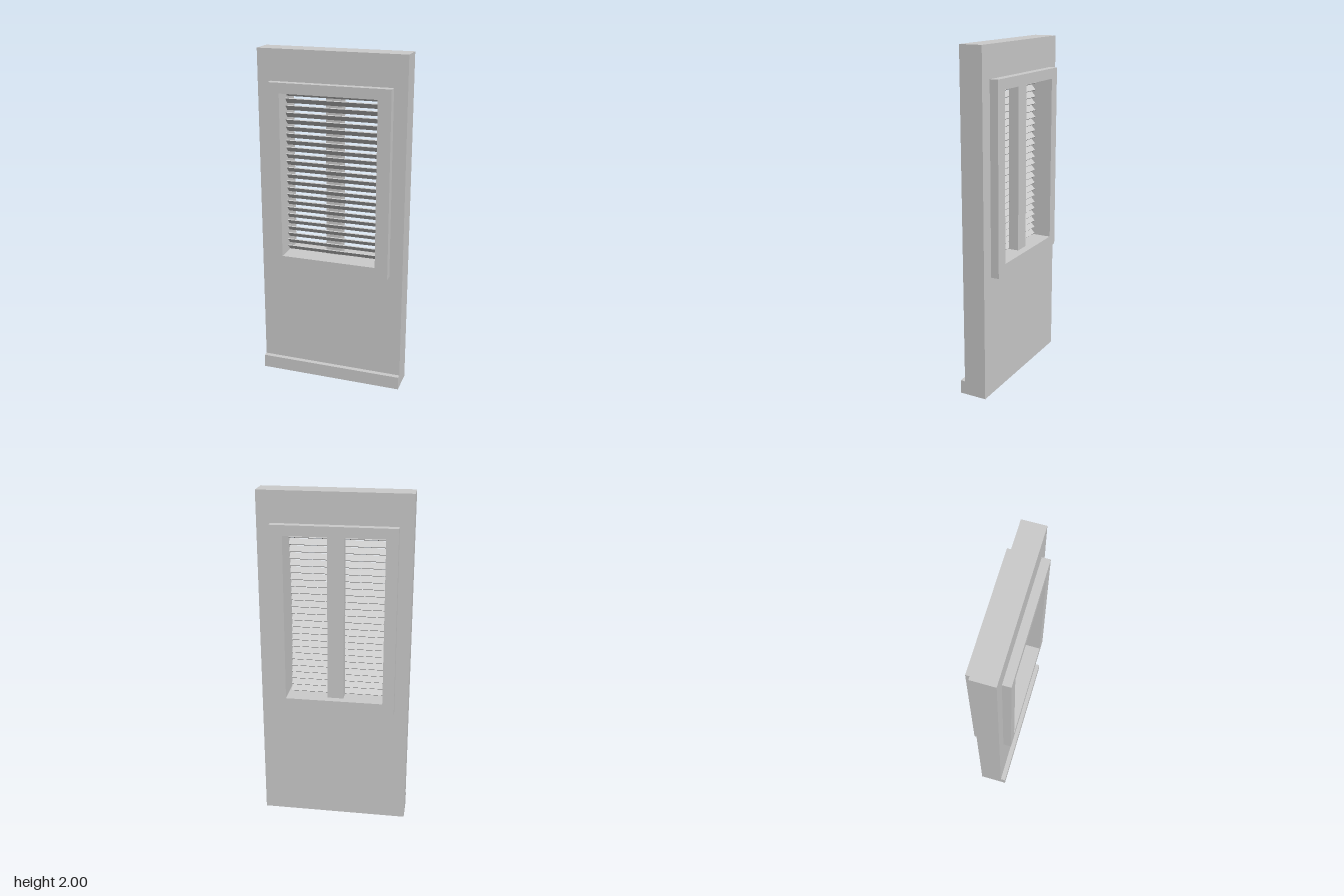
import * as THREE from 'three';

const material = new THREE.MeshStandardMaterial({ color: 0xcccccc, flatShading: true });

// Window opening shared by the panel and the frame
const OPEN = { x0: -0.29, x1: 0.282, y0: 0.785, y1: 1.76 };

function rectPoints(x0, x1, y0, y1) {
  return [[x0, y0], [x1, y0], [x1, y1], [x0, y1]].map(([x, y]) => new THREE.Vector2(x, y));
}

// Rectangular slab with the window cut through it, spanning z0..z1
function slabWithOpening(name, x0, x1, y0, y1, z0, z1) {
  const shape = new THREE.Shape(rectPoints(x0, x1, y0, y1));
  shape.holes.push(new THREE.Path(rectPoints(OPEN.x0, OPEN.x1, OPEN.y0, OPEN.y1)));
  const geometry = new THREE.ExtrudeGeometry(shape, { depth: z1 - z0, bevelEnabled: false });
  geometry.translate(0, 0, z0);
  const mesh = new THREE.Mesh(geometry, material);
  mesh.name = name;
  return mesh;
}

// Box given by its limits on each axis
function box(name, x0, x1, y0, y1, z0, z1) {
  const mesh = new THREE.Mesh(new THREE.BoxGeometry(x1 - x0, y1 - y0, z1 - z0), material);
  mesh.position.set((x0 + x1) / 2, (y0 + y1) / 2, (z0 + z1) / 2);
  mesh.name = name;
  return mesh;
}

export function createModel() {
  const group = new THREE.Group();
  group.name = 'louveredWallPanel';

  // Wall panel and the skirting along its front foot
  group.add(slabWithOpening('wallPanel', -0.436, 0.436, 0, 2, -0.068, 0.067));
  group.add(box('skirting', -0.436, 0.436, 0, 0.08, 0.067, 0.096));

  // Raised window frame on both faces
  group.add(slabWithOpening('frontFrame', -0.358, 0.358, 0.72, 1.82, 0.067, 0.115));
  group.add(slabWithOpening('backFrame', -0.358, 0.358, 0.72, 1.82, -0.117, -0.068));

  // Upright post behind the louvres
  group.add(box('post', -0.055, 0.04, OPEN.y0, OPEN.y1, -0.07, -0.01));

  // Louvre slats, front edge higher than the back edge
  const slats = new THREE.Group();
  slats.name = 'slats';
  const count = 24;
  for (let i = 0; i < count; i++) {
    const t = i / (count - 1);
    const end = 0.268 - 0.009 * Math.sin(Math.PI * t);
    const y = THREE.MathUtils.lerp(0.806, 1.743, t);
    const slat = box('slat', OPEN.x0, end, y - 0.003, y + 0.003, -0.015, 0.025);
    slat.rotation.x = -0.83;
    slats.add(slat);
  }
  group.add(slats);

  return group;
}
